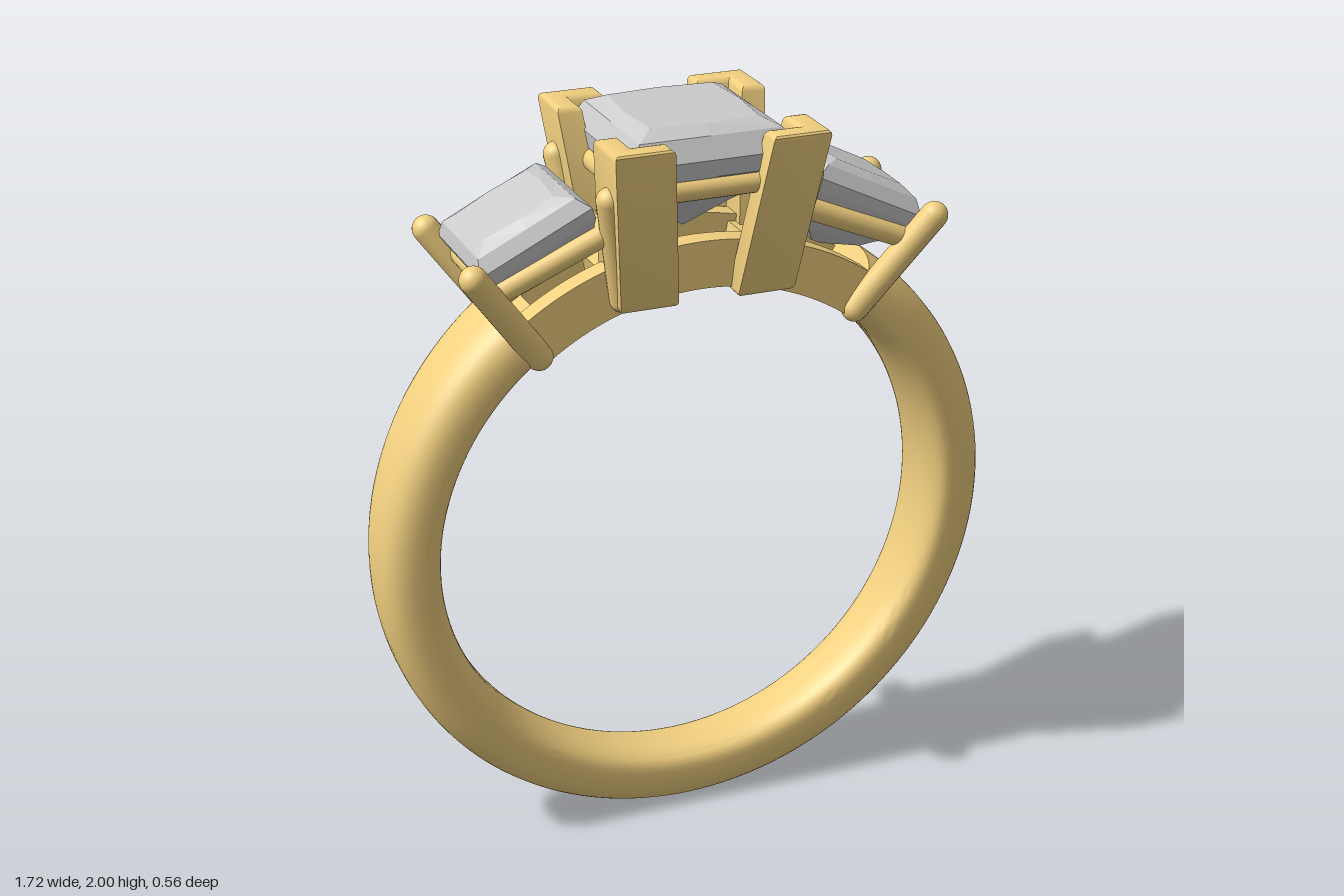
import * as THREE from 'three';
import { toCreasedNormals } from 'three/addons/utils/BufferGeometryUtils.js';

const CY = 0.8625; // height of the finger hole's centre
const rad = THREE.MathUtils.degToRad;
const V = (x, y, z) => new THREE.Vector3(x, y, z);

export function createModel() {
  const ring = new THREE.Group();
  ring.name = 'ring';
  const gold = new THREE.MeshStandardMaterial({ color: 0xf2d080 });
  const gem = new THREE.MeshStandardMaterial({ color: 0xcccccc });

  function add(name, geometry, material = gold, parent = ring) {
    const mesh = new THREE.Mesh(geometry, material);
    mesh.name = name;
    parent.add(mesh);
    return mesh;
  }

  // Skin closed rings of points; both ends are closed at their centres
  function loft(rings, crease) {
    const centre = (r) => {
      const c = r.reduce((s, p) => s.add(p), V(0, 0, 0)).divideScalar(r.length);
      return r.map(() => c);
    };
    const all = [centre(rings[0]), ...rings, centre(rings[rings.length - 1])];
    const n = rings[0].length, pos = [], index = [];
    all.forEach((r) => r.forEach((p) => pos.push(p.x, p.y, p.z)));
    for (let i = 0; i < all.length - 1; i++) {
      for (let j = 0; j < n; j++) {
        const a = i * n + j, b = i * n + (j + 1) % n;
        if (i > 0) index.push(a, b, a + n);
        if (i < all.length - 2) index.push(b, b + n, a + n);
      }
    }
    const g = new THREE.BufferGeometry();
    g.setAttribute('position', new THREE.Float32BufferAttribute(pos, 3));
    g.setIndex(index);
    return toCreasedNormals(g, crease);
  }

  // Sweep a section of [radius, z] points round the finger, angle from the top
  function arc(section, from, to, steps) {
    const rings = [];
    for (let i = 0; i <= steps; i++) {
      const t = rad(from + (to - from) * i / steps);
      rings.push(section(t).map(([r, z]) => V(r * Math.sin(t), CY + r * Math.cos(t), z)));
    }
    return loft(rings, 0.6);
  }
  const rect = (r0, r1, z0, z1) => () => [[r0, z0], [r1, z0], [r1, z1], [r0, z1]];

  // Rod with round or flat ends
  function rod(name, a, b, r, round = true) {
    const d = b.clone().sub(a), len = d.length();
    const g = round ? new THREE.CapsuleGeometry(r, len, 8, 20) : new THREE.CylinderGeometry(r, r, len, 20);
    const mesh = add(name, g);
    mesh.position.copy(a).add(b).multiplyScalar(0.5);
    mesh.quaternion.setFromUnitVectors(V(0, 1, 0), d.normalize());
  }

  // Square-cut stone: layers of [height, half size, bulge of the side middles]
  function stone(name, hx, hz, layers) {
    const rings = layers.map(([y, s, m]) => Array.from({ length: 8 }, (_, k) => {
      const a = k * Math.PI / 4;
      const f = k % 2 ? Math.SQRT2 : m;
      return V(Math.sin(a) * f * s * hx, y, Math.cos(a) * f * s * hz);
    }));
    return add(name, loft(rings, 0.02), gem);
  }

  // Shank, rounded outside, flatter inside, wider towards the top
  const shank = (t) => {
    const w = 0.09 + 0.038 * Math.max(0, CY + 0.8 * Math.cos(t));
    return Array.from({ length: 40 }, (_, k) => {
      const a = k / 40 * Math.PI * 2, c = Math.cos(a), s = Math.sin(a);
      const e = 2 / 2.7;
      return [0.75 + Math.sign(c) * Math.abs(c) ** e * (c > 0 ? 0.108 : 0.0575),
        Math.sign(s) * Math.abs(s) ** e * w];
    });
  };
  add('shank', arc(shank, 35, 325, 120));

  // Pierced bridge under the stones: two walls and cross bars
  for (const s of [-1, 1]) {
    const z = [s * 0.075, s * 0.135].sort((a, b) => a - b);
    add('bridgeWall', arc(rect(0.693, 0.82, ...z), -37, 37, 40));
    add('bridgeBar', arc(rect(0.695, 0.80, -0.1, 0.1), s * 15 - 3.5, s * 15 + 3.5, 4));
    add('bridgeEnd', arc(rect(0.695, 0.78, -0.1, 0.1), s * 35 - 3, s * 35 + 3, 4));
  }

  // Centre stone
  stone('centreStone', 0.218, 0.225, [
    [1.685, 0.02, 1], [1.77, 0.42, 1.1], [1.84, 0.8, 1.03], [1.88, 0.97, 1],
    [1.925, 1, 1], [1.978, 0.87, 1], [2.0, 0.66, 1.08],
  ]);

  // L-shaped corner prongs, leaning outwards
  function cornerProng(sx, sz) {
    const b = 0.015, o = 0.285 - b, i = 0.13 + b, t = 0.22 + b;
    const outline = [[i, o], [o, o], [o, i], [t, i], [t, t], [i, t]];
    const shape = new THREE.Shape(outline.map(([x, z]) => new THREE.Vector2(sx * x, -sz * z)));
    const g = new THREE.ExtrudeGeometry(shape, {
      depth: 0.45 - 2 * b, bevelSize: b, bevelThickness: b, bevelSegments: 3,
    });
    g.rotateX(-Math.PI / 2).translate(0, 1.535 + b, 0);
    const p = g.attributes.position;
    for (let k = 0; k < p.count; k++) {
      const drop = (1.985 - p.getY(k)) / 0.45;
      p.setX(k, p.getX(k) - sx * 0.05 * drop);
      p.setZ(k, p.getZ(k) - sz * 0.105 * drop);
    }
    add('cornerProng', toCreasedNormals(g, 0.6));
  }

  for (const s of [-1, 1]) {
    for (const f of [-1, 1]) cornerProng(s, f);

    // Square rail below the centre stone
    rod('centreRail', V(-0.2, 1.85, s * 0.2), V(0.2, 1.85, s * 0.2), 0.03);
    rod('centreRail', V(s * 0.2, 1.85, -0.2), V(s * 0.2, 1.85, 0.2), 0.03);

    // Tilted side stone
    const side = stone('sideStone', 0.163, 0.17, [
      [-0.18, 0.08, 1], [-0.14, 0.5, 1.05], [-0.075, 0.84, 1.03], [-0.03, 0.98, 1],
      [0.0, 1, 1], [0.035, 0.86, 1], [0.052, 0.62, 1.08],
    ]);
    side.position.set(s * 0.45, 1.752, 0);
    side.rotation.z = -s * rad(26);

    // Round prongs and rail of the side setting
    for (const f of [-1, 1]) {
      rod('outerProng', V(s * 0.435, 1.435, f * 0.125), V(s * 0.62, 1.69, f * 0.195), 0.036);
      rod('innerProng', V(s * 0.215, 1.56, f * 0.135), V(s * 0.268, 1.845, f * 0.193), 0.034);
      rod('sideRail', V(s * 0.27, 1.745, f * 0.155), V(s * 0.545, 1.63, f * 0.155), 0.029);
    }
    rod('sideRailEnd', V(s * 0.545, 1.63, -0.155), V(s * 0.545, 1.63, 0.155), 0.029);
    rod('sideRailEnd', V(s * 0.27, 1.745, -0.155), V(s * 0.27, 1.745, 0.155), 0.029);
  }
  return ring;
}
